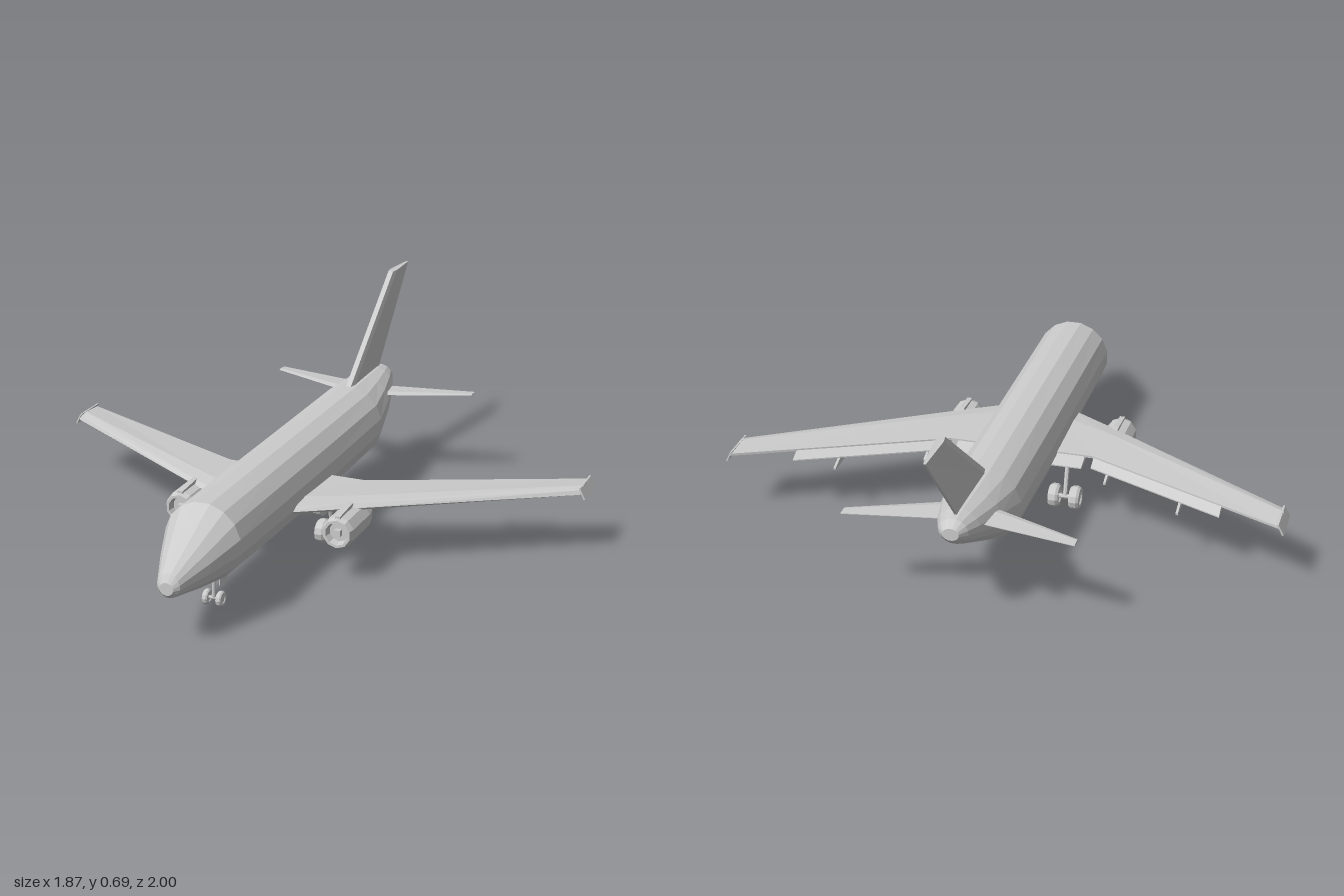
import * as THREE from 'three';

const material = new THREE.MeshStandardMaterial({ color: 0xcccccc, flatShading: true, side: THREE.DoubleSide });

// Skin a list of equal-sized rings of [x, y, z] points and cap both ends.
function loft(rings) {
  const n = rings[0].length, points = rings.flat(), index = [];
  for (let r = 0; r < rings.length - 1; r++) {
    for (let i = 0; i < n; i++) {
      const a = r * n + i, b = r * n + (i + 1) % n;
      index.push(a, b, b + n, a, b + n, a + n);
    }
  }
  const end = (rings.length - 1) * n;
  for (let i = 1; i < n - 1; i++) index.push(0, i + 1, i, end, end + i, end + i + 1);
  // Turn the faces outward when the signed volume is negative.
  const v = points.map((p) => new THREE.Vector3(...p));
  let volume = 0;
  for (let i = 0; i < index.length; i += 3) {
    volume += v[index[i]].dot(v[index[i + 1]].clone().cross(v[index[i + 2]]));
  }
  if (volume < 0) index.reverse();
  const geometry = new THREE.BufferGeometry().setFromPoints(v);
  geometry.setIndex(index);
  geometry.computeVertexNormals();
  return geometry;
}

function add(parent, name, geometry, x = 0, y = 0, z = 0) {
  const mesh = new THREE.Mesh(geometry, material);
  mesh.name = name;
  mesh.position.set(x, y, z);
  parent.add(mesh);
  return mesh;
}

function strut(parent, name, from, to, radius) {
  const a = new THREE.Vector3(...from), b = new THREE.Vector3(...to);
  const mesh = add(parent, name, new THREE.CylinderGeometry(radius, radius, a.distanceTo(b), 8));
  mesh.position.copy(a).add(b).multiplyScalar(0.5);
  mesh.quaternion.setFromUnitVectors(new THREE.Vector3(0, 1, 0), b.sub(a).normalize());
}

function wheel(parent, name, radius, width, x, y, z) {
  const w = width / 2;
  const profile = [[0, -w * 0.7], [radius * 0.5, -w * 0.7], [radius * 0.6, -w], [radius * 0.85, -w], [radius, -w * 0.5],
    [radius, w * 0.5], [radius * 0.85, w], [radius * 0.6, w], [radius * 0.5, w * 0.7], [0, w * 0.7]];
  const geometry = new THREE.LatheGeometry(profile.map((p) => new THREE.Vector2(...p)), 12);
  add(parent, name, geometry.rotateZ(Math.PI / 2), x, y, z);
}

// Wing outline
const leadingZ = (x) => 0.35 - (x - 0.125) * 0.63;
const trailingZ = (x) => (x < 0.245 ? 0.03 : 0.03 - (x - 0.245) * 0.453);

function wingSection(s, x) {
  const lead = leadingZ(x), trail = trailingZ(x), taper = (x - 0.08) / 0.84;
  const at = (t) => lead + (trail - lead) * t;
  const low = 0.198 + 0.012 * taper;
  return [[lead, 0.215], [at(0.06), 0.228], [at(0.3), 0.235], [trail, 0.227], [trail, 0.219], [at(0.35), low], [at(0.06), low + 0.004]]
    .map(([z, y]) => [s * x, y, z]);
}

// Flap hinged on the wing's trailing edge and drooping slightly
function flapSection(s, x, chord) {
  const z = trailingZ(x);
  return [[s * x, 0.224, z + 0.03], [s * x, 0.222, z], [s * x, 0.204, z - chord], [s * x, 0.2, z - chord], [s * x, 0.206, z + 0.03]];
}

function buildWing(s) {
  const wing = new THREE.Group();
  wing.name = s > 0 ? 'leftWing' : 'rightWing';
  add(wing, 'wingPanel', loft([0.08, 0.245, 0.92].map((x) => wingSection(s, x))));
  add(wing, 'inboardFlap', loft([0.1, 0.22].map((x) => flapSection(s, x, 0.05))));
  add(wing, 'outboardFlap', loft([0.25, 0.72].map((x) => flapSection(s, x, 0.037))));
  // Sloping plate at the tip
  add(wing, 'wingTip', loft([-0.15, -0.28].map((z) =>
    [[0.912, 0.236], [0.918, 0.236], [0.936, 0.2], [0.93, 0.2]].map(([x, y]) => [s * x, y, z]))));
  // Flap track fairings
  for (const [x, z] of [[0.31, 0.115], [0.58, -0.02]]) {
    add(wing, 'flapTrack', loft([[0, 0.214, 0.204], [-0.09, 0.214, 0.178], [-0.18, 0.185, 0.177]].map(([dz, top, low]) =>
      [[-1, top], [1, top], [1, low], [-1, low]].map(([k, y]) => [s * (x + k * 0.004), y, z + dz]))));
  }
  return wing;
}

function buildEngine(s) {
  const engine = new THREE.Group();
  engine.name = s > 0 ? 'leftEngine' : 'rightEngine';
  const profile = [[0, 0.13], [0.026, 0.13], [0.044, 0.155], [0.054, 0.2], [0.054, 0.34], [0.047, 0.36],
    [0.038, 0.36], [0.033, 0.335], [0, 0.335]];
  const cowl = new THREE.LatheGeometry(profile.map((p) => new THREE.Vector2(...p)), 10).rotateX(Math.PI / 2);
  add(engine, 'cowl', cowl, s * 0.275, 0.167, 0);
  add(engine, 'fanHub', new THREE.BoxGeometry(0.02, 0.02, 0.02), s * 0.275, 0.167, 0.343);
  add(engine, 'pylon', loft([[0.35, 0.212, 0.224], [0.26, 0.2, 0.23], [0.08, 0.195, 0.225]].map(([z, low, top]) =>
    [[-1, low], [1, low], [1, top], [-1, top]].map(([k, y]) => [s * 0.275 + k * 0.009, y, z]))));
  return engine;
}

function buildMainGear(s) {
  const gear = new THREE.Group();
  gear.name = s > 0 ? 'leftMainGear' : 'rightMainGear';
  add(gear, 'gearFairing', loft([[0.24, 0.175], [0.21, 0.155], [0.1, 0.155], [0.06, 0.18]].map(([z, low]) =>
    [[0.1, low], [0.168, low], [0.168, 0.212], [0.1, 0.212]].map(([x, y]) => [s * x, y, z]))));
  strut(gear, 'mainStrut', [s * 0.145, 0.21, 0.115], [s * 0.145, 0.045, 0.067], 0.008);
  strut(gear, 'axle', [s * 0.1, 0.041, 0.067], [s * 0.19, 0.041, 0.067], 0.008);
  for (const k of [-1, 1]) wheel(gear, 'mainWheel', 0.041, 0.035, s * 0.145 + k * 0.036, 0.041, 0.067);
  return gear;
}

function buildNoseGear() {
  const gear = new THREE.Group();
  gear.name = 'noseGear';
  strut(gear, 'noseStrut', [0, 0.15, 0.68], [0, 0.035, 0.68], 0.006);
  strut(gear, 'noseAxle', [-0.025, 0.035, 0.68], [0.025, 0.035, 0.68], 0.005);
  for (const s of [-1, 1]) {
    wheel(gear, 'noseWheel', 0.025, 0.018, s * 0.023, 0.035, 0.68);
    add(gear, 'gearDoor', new THREE.BoxGeometry(0.004, 0.045, 0.055), s * 0.033, 0.115, 0.68);
  }
  return gear;
}

export function createModel() {
  const plane = new THREE.Group();
  plane.name = 'airliner';

  // Fuselage stations: z, half width, bottom, top
  const stations = [[1, 0.022, 0.175, 0.215], [0.985, 0.037, 0.162, 0.237], [0.87, 0.083, 0.142, 0.305], [0.75, 0.125, 0.126, 0.375],
    [0.4, 0.125, 0.116, 0.377], [0, 0.125, 0.114, 0.377], [-0.42, 0.125, 0.125, 0.377], [-0.56, 0.1, 0.194, 0.375],
    [-0.68, 0.068, 0.253, 0.372], [-0.735, 0.047, 0.282, 0.366], [-0.765, 0.026, 0.308, 0.348]];
  const sides = 16;
  add(plane, 'fuselage', loft(stations.map(([z, half, low, top]) =>
    Array.from({ length: sides }, (_, i) => {
      const a = ((i + 0.5) / sides) * Math.PI * 2, grow = 1 / Math.cos(Math.PI / sides);
      return [Math.cos(a) * half * grow, (low + top) / 2 + Math.sin(a) * grow * (top - low) / 2, z];
    }))));

  // Swept fin, thinning toward its trailing edge
  add(plane, 'fin', loft([[0.35, -0.39, -0.7], [0.375, -0.42, -0.715], [0.69, -0.825, -0.995]].map(([y, lead, trail]) => {
    const drop = y > 0.6 ? 0.005 : 0;
    return [[-0.009, y, lead], [-0.014, y, lead - 0.03], [-0.004, y - drop, trail],
      [0.004, y - drop, trail], [0.014, y, lead - 0.03], [0.009, y, lead]];
  })));

  for (const s of [-1, 1]) {
    plane.add(buildWing(s), buildEngine(s), buildMainGear(s));
    // Tailplane
    add(plane, s > 0 ? 'leftTailplane' : 'rightTailplane', loft([[0.03, -0.53, -0.65, 0.006], [0.37, -0.668, -0.71, 0.003]]
      .map(([x, lead, trail, t]) => [[lead, 0], [lead * 0.75 + trail * 0.25, t], [trail, 0.001], [trail, -0.001], [lead * 0.75 + trail * 0.25, -t]]
        .map(([z, dy]) => [s * x, 0.316 + dy, z]))));
  }
  plane.add(buildNoseGear());
  return plane;
}
